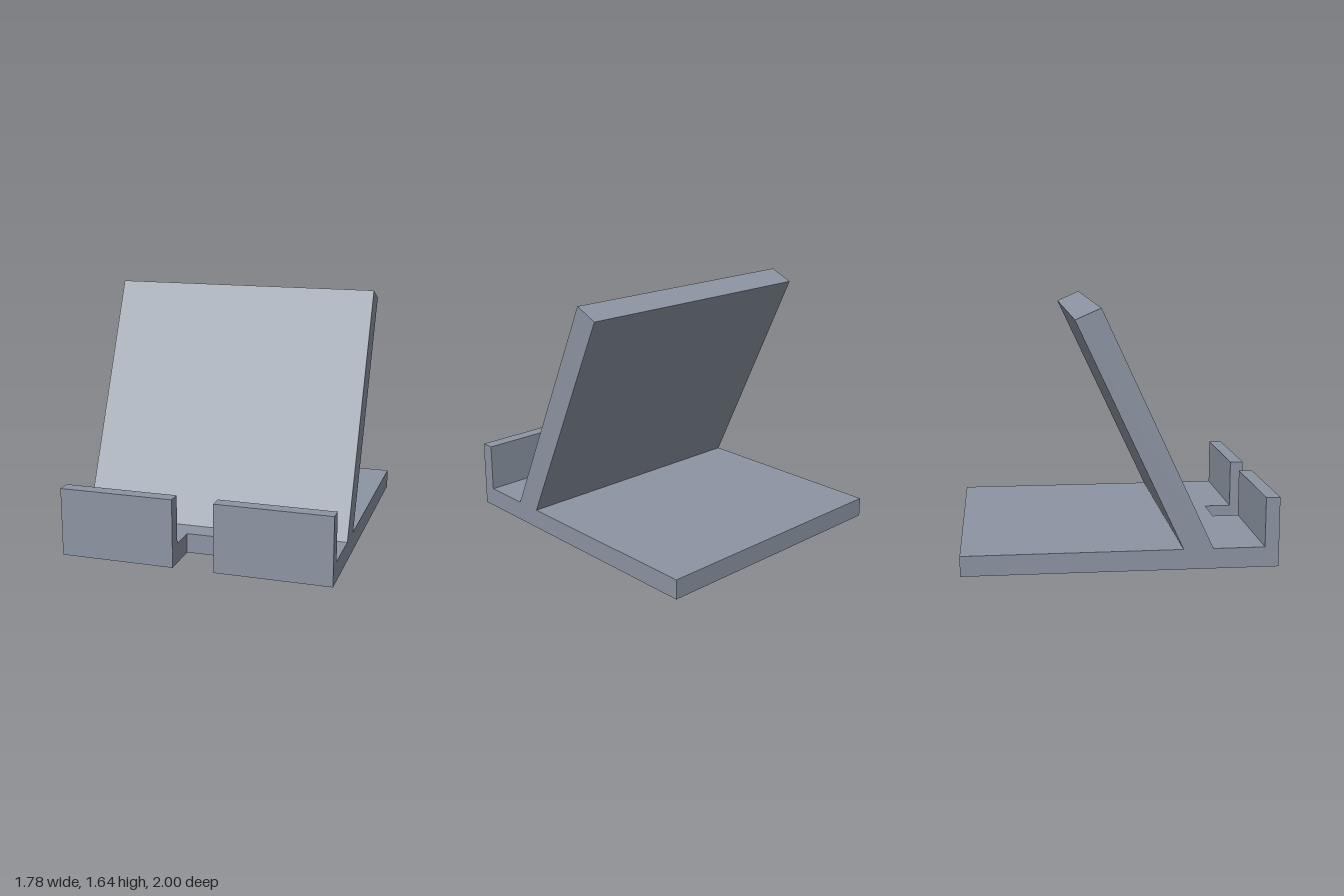
import * as THREE from 'three';

const HALF_W = 0.89;     // half width of the stand
const BASE_H = 0.13;     // base plate thickness
const LIP_H = 0.45;      // top of the front lip
const SLOT_W = 0.135;    // half width of the cable slot
const SLOT_Z = 0.73;     // back of the cable slot
const LIP_Z = 0.91;      // back of the front lip

const shapeOf = (points) => new THREE.Shape(points.map(([x, y]) => new THREE.Vector2(x, y)));

export function createModel() {
  const group = new THREE.Group();
  const grey = new THREE.MeshStandardMaterial({ color: 0x8c95a3 });
  grey.name = 'slate grey';

  const add = (name, geometry) => {
    const mesh = new THREE.Mesh(geometry, grey);
    mesh.name = name;
    group.add(mesh);
    return mesh;
  };

  // Base plate with the cable slot cut into its front edge (plan outline in x, -z)
  const base = new THREE.ExtrudeGeometry(shapeOf([
    [-HALF_W, -1], [-SLOT_W, -1], [-SLOT_W, -SLOT_Z], [SLOT_W, -SLOT_Z],
    [SLOT_W, -1], [HALF_W, -1], [HALF_W, 1], [-HALF_W, 1],
  ]), { depth: BASE_H, bevelEnabled: false });
  base.rotateX(-Math.PI / 2);
  add('basePlate', base);

  // Leaning back rest (side outline in z, y, extruded across the width)
  const rest = new THREE.ExtrudeGeometry(shapeOf([
    [0.58, BASE_H], [-0.125, 1.64], [-0.285, 1.57], [0.39, BASE_H],
  ]), { depth: 2 * HALF_W, bevelEnabled: false });
  rest.rotateY(-Math.PI / 2);
  rest.translate(HALF_W, 0, 0);
  add('backRest', rest);

  // Front lip, one half on each side of the slot
  for (const side of [1, -1]) {
    const lip = add(side > 0 ? 'leftLip' : 'rightLip',
      new THREE.BoxGeometry(HALF_W - SLOT_W, LIP_H - BASE_H, 1 - LIP_Z));
    lip.position.set(side * (HALF_W + SLOT_W) / 2, (LIP_H + BASE_H) / 2, (1 + LIP_Z) / 2);
  }

  return group;
}
